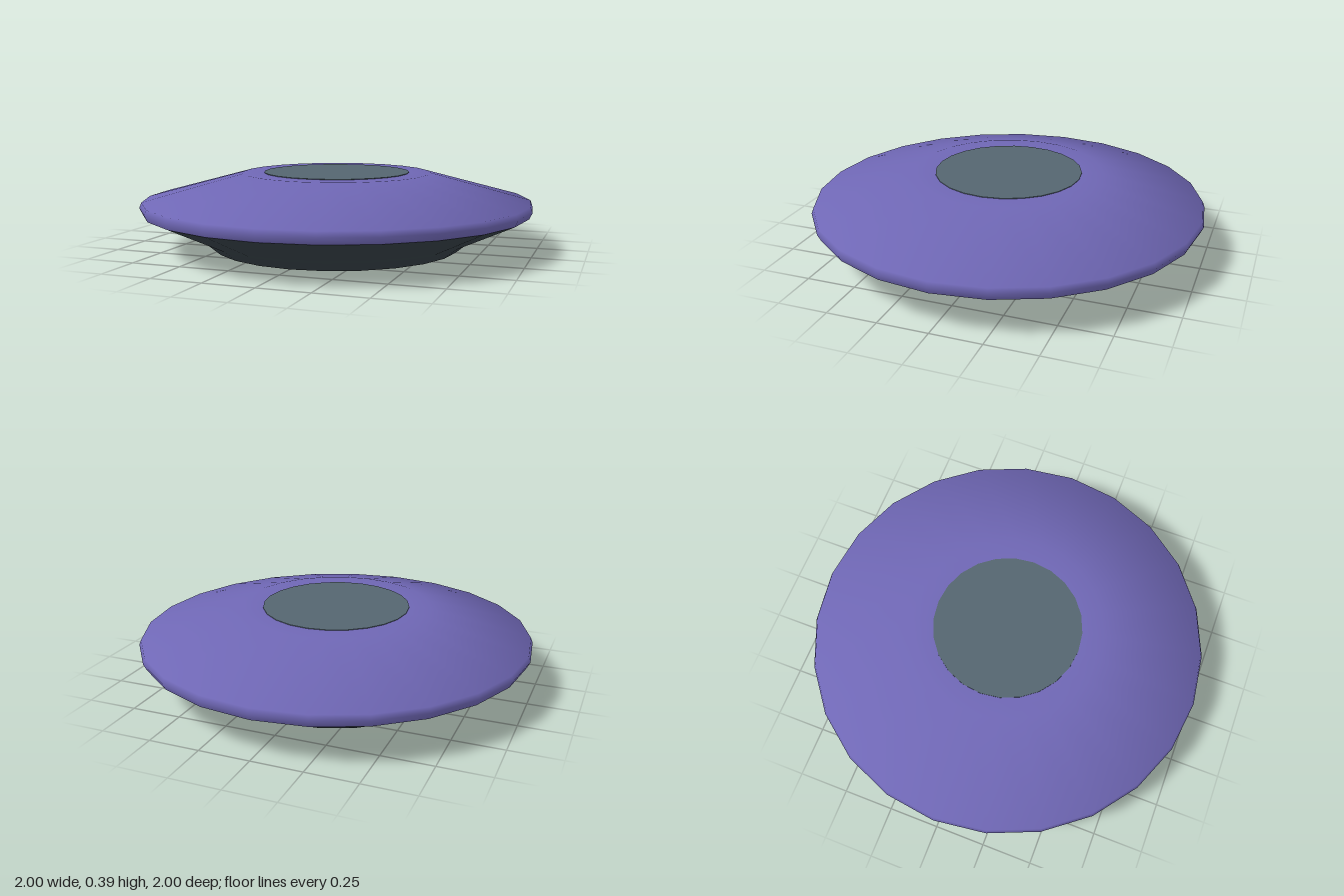
import * as THREE from 'three';

const SIDES = 24;

function material(name, color) {
  const m = new THREE.MeshStandardMaterial({ color });
  m.name = name;
  return m;
}

// Revolves a profile of [radius, height] pairs, listed from the bottom up.
// Each ring's normal is the even average of the slopes on either side of it,
// so the narrow rim and chamfer bands blend softly into the wide ones.
function turned(name, profile, mat) {
  const points = profile.map(([r, y]) => new THREE.Vector2(r, y));
  const geometry = new THREE.LatheGeometry(points, SIDES);

  const slopes = points.slice(1).map((p, i) => {
    const d = p.clone().sub(points[i]).normalize();
    return new THREE.Vector2(d.y, -d.x);
  });
  const normals = points.map((_, j) => {
    const below = slopes[Math.max(j - 1, 0)];
    const above = slopes[Math.min(j, slopes.length - 1)];
    return below.clone().add(above).normalize();
  });

  const normal = geometry.attributes.normal;
  for (let i = 0; i <= SIDES; i++) {
    const a = (i / SIDES) * Math.PI * 2;
    normals.forEach((n, j) => {
      normal.setXYZ(i * points.length + j, n.x * Math.sin(a), n.y, n.x * Math.cos(a));
    });
  }

  const mesh = new THREE.Mesh(geometry, mat);
  mesh.name = name;
  return mesh;
}

export function createModel() {
  const purple = material('purple shell', 0x6f67b5);
  const slate = material('slate grey', 0x556670);
  const charcoal = material('charcoal base', 0x39444b);

  const model = new THREE.Group();
  model.name = 'saucer';

  // Dark underside: flat foot, short chamfer, wide flare
  model.add(turned('base', [[0, 0], [0.63, 0], [0.69, 0.05], [0.985, 0.188]], charcoal));

  // Rounded rim, sloping shoulder and flat top ring
  model.add(turned('shell', [
    [0.985, 0.188], [1, 0.22], [0.99, 0.246], [0.48, 0.383], [0.37, 0.383],
  ], purple));

  // Thin flat plate closing the middle of the top
  const disc = new THREE.Mesh(new THREE.CylinderGeometry(0.373, 0.373, 0.004, SIDES), slate);
  disc.name = 'topDisc';
  disc.position.y = 0.384;
  model.add(disc);

  return model;
}
